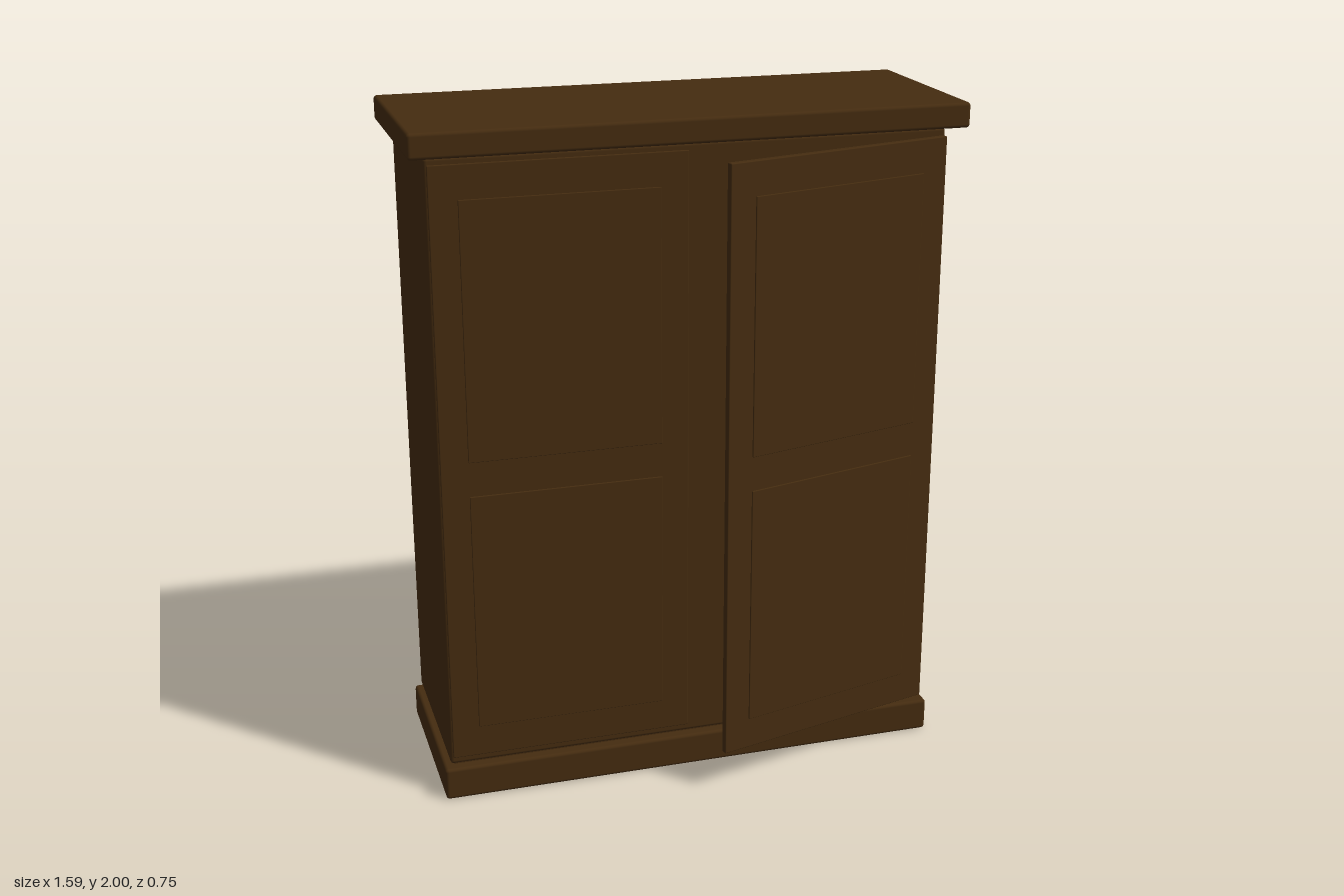
import * as THREE from 'three';
import { RoundedBoxGeometry } from 'three/addons/geometries/RoundedBoxGeometry.js';

export function createModel() {
  const cabinet = new THREE.Group();
  cabinet.name = 'cabinet';
  const wood = new THREE.MeshStandardMaterial({ color: 0x452c10 });
  wood.name = 'dark wood';

  // Softly edged board given by its minimum and maximum corners
  function board(name, [x0, y0, z0], [x1, y1, z1], radius, parent = cabinet) {
    const geometry = new RoundedBoxGeometry(x1 - x0, y1 - y0, z1 - z0, 2, radius);
    const mesh = new THREE.Mesh(geometry, wood);
    mesh.position.set((x0 + x1) / 2, (y0 + y1) / 2, (z0 + z1) / 2);
    mesh.name = name;
    parent.add(mesh);
  }

  // Carcass, plinth and overhanging top, with narrow recessed necks between them
  board('plinth', [-0.768, 0, -0.372], [0.768, 0.1, 0.193], 0.01);
  board('carcass', [-0.748, 0.106, -0.371], [0.748, 1.922, 0.172], 0.01);
  board('top', [-0.797, 1.928, -0.375], [0.797, 2, 0.23], 0.01);
  board('lowerNeck', [-0.735, 0.08, -0.36], [0.735, 0.13, 0.16], 0.004);
  board('upperNeck', [-0.735, 1.9, -0.36], [0.735, 1.95, 0.16], 0.004);

  // Door with two raised panels; it runs from its hinge at x = 0 toward side
  function door(name, side) {
    const group = new THREE.Group();
    group.name = name;
    const span = (a, b) => [Math.min(side * a, side * b), Math.max(side * a, side * b)];
    const [d0, d1] = span(0, 0.725);
    board(name + 'Slab', [d0, 0.127, -0.02], [d1, 1.902, 0], 0.003, group);
    const [p0, p1] = span(0.08, 0.645);
    [['Lower', 0.222, 0.952], ['Upper', 1.055, 1.805]].forEach(([label, y0, y1]) =>
      board(name + label + 'Panel', [p0, y0, -0.006], [p1, y1, 0.004], 0.002, group));
    cabinet.add(group);
    return group;
  }

  // Closed right door
  door('rightDoor', 1).position.set(-0.74, 0, 0.175);

  // Left door standing ajar
  const ajar = door('leftDoor', -1);
  ajar.position.set(0.742, 0, 0.2);
  ajar.rotation.y = 0.25;

  return cabinet;
}
